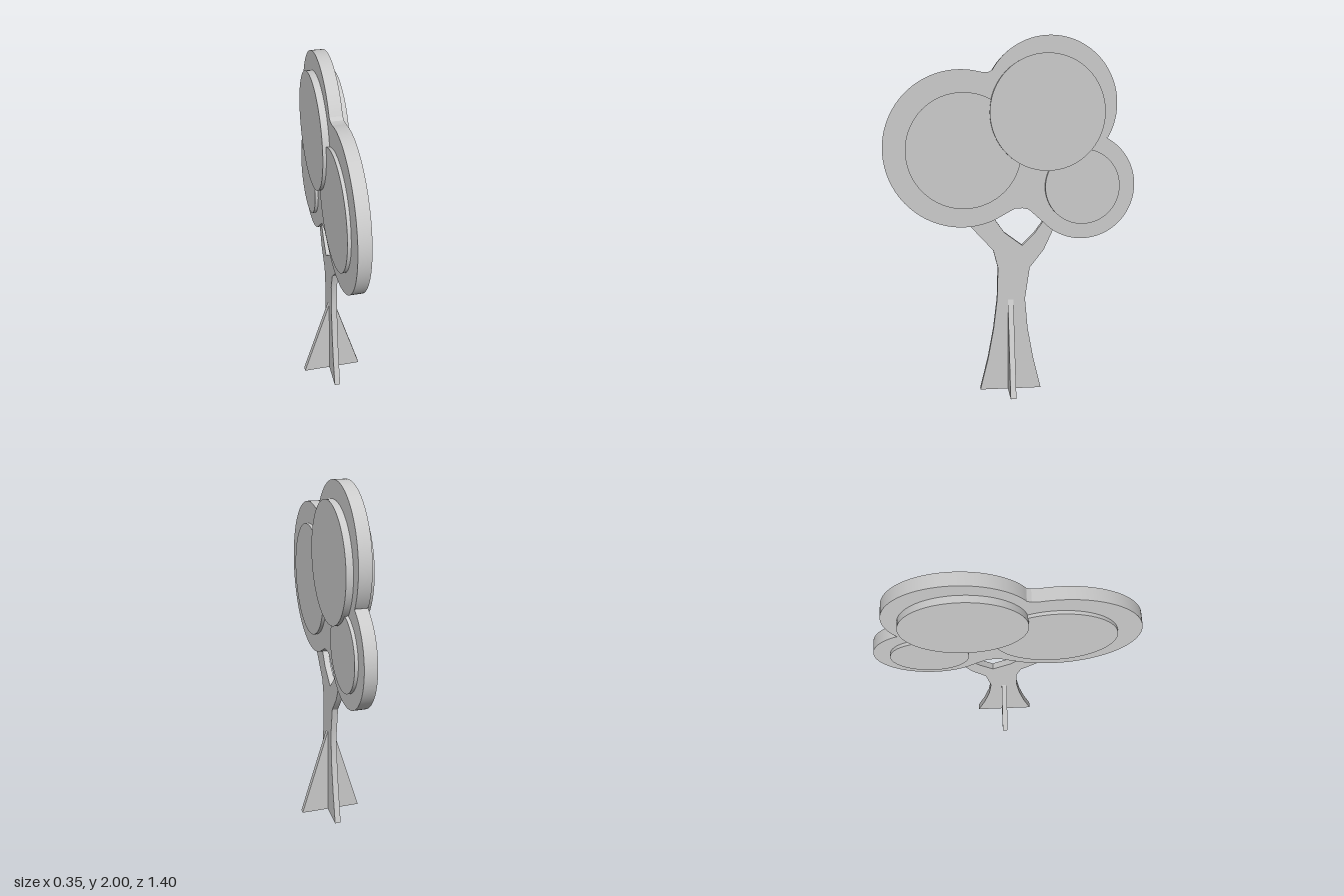
import * as THREE from 'three';
import { toCreasedNormals } from 'three/addons/utils/BufferGeometryUtils.js';

const material = new THREE.MeshStandardMaterial({ color: 0xcccccc });
const rad = THREE.MathUtils.degToRad;

// Flat board cut from a shape, centred on its thickness
function board(name, shape, thickness) {
  let geometry = new THREE.ExtrudeGeometry(shape, {
    depth: thickness, bevelEnabled: false, curveSegments: 56,
  });
  geometry.translate(0, 0, -thickness / 2);
  geometry = toCreasedNormals(geometry, rad(20));
  const mesh = new THREE.Mesh(geometry, material);
  mesh.name = name;
  return mesh;
}

const outline = (points) => new THREE.Shape(points.map(([a, b]) => new THREE.Vector2(a, b)));

export function createModel() {
  const tree = new THREE.Group();
  tree.name = 'tree';

  // Boards in the tree's main plane are drawn as (z, y) and turned to face x
  const addSide = (mesh) => {
    mesh.geometry.rotateY(-Math.PI / 2);
    tree.add(mesh);
  };

  // Trunk forking into two branches that end inside the canopy
  addSide(board('trunk', outline([
    [-0.175, 0], [0.175, 0], [0.13, 0.185], [0.098, 0.36], [0.077, 0.535],
    [0.072, 0.716], [0.098, 0.817], [0.225, 0.955], [0.26, 1.0], [0.1, 1.01],
    [0.087, 0.99], [0.035, 0.918], [-0.066, 0.843], [-0.135, 0.912],
    [-0.177, 0.97], [-0.2, 1.0], [-0.27, 1.0], [-0.24, 0.93],
    [-0.188, 0.817], [-0.109, 0.716], [-0.082, 0.535], [-0.098, 0.36], [-0.13, 0.185],
  ]), 0.034));

  // Crossing foot that slots through the trunk
  tree.add(board('crossFoot', outline([
    [-0.175, 0], [0.175, 0], [0.017, 0.53], [-0.017, 0.53],
  ]), 0.032));

  // Canopy: three merged lobes, with a small gap above the fork
  const canopy = new THREE.Shape();
  canopy.absarc(0.27, 1.385, 0.43, rad(-115), rad(104), false);
  canopy.lineTo(0.125, 1.801);
  canopy.absarc(-0.22, 1.63, 0.37, rad(29.5), rad(209.5), false);
  canopy.absarc(-0.4, 1.18, 0.298, rad(117), rad(317), false);
  canopy.lineTo(-0.1, 1.05);
  canopy.lineTo(-0.065, 1.058);
  canopy.lineTo(-0.02, 1.055);
  addSide(board('canopy', canopy, 0.068));

  // Raised leaf discs showing on both faces: z, y, radius, thickness
  const discs = [
    ['frontLeafDisc', 0.26, 1.377, 0.317, 0.104],
    ['topLeafDisc', -0.2, 1.586, 0.318, 0.14],
    ['backLeafDisc', -0.4, 1.177, 0.21, 0.104],
  ];
  for (const [name, z, y, radius, thickness] of discs) {
    const geometry = new THREE.CylinderGeometry(radius, radius, thickness, 64);
    geometry.rotateZ(Math.PI / 2);
    const disc = new THREE.Mesh(geometry, material);
    disc.name = name;
    disc.position.set(0, y, z);
    tree.add(disc);
  }

  return tree;
}
